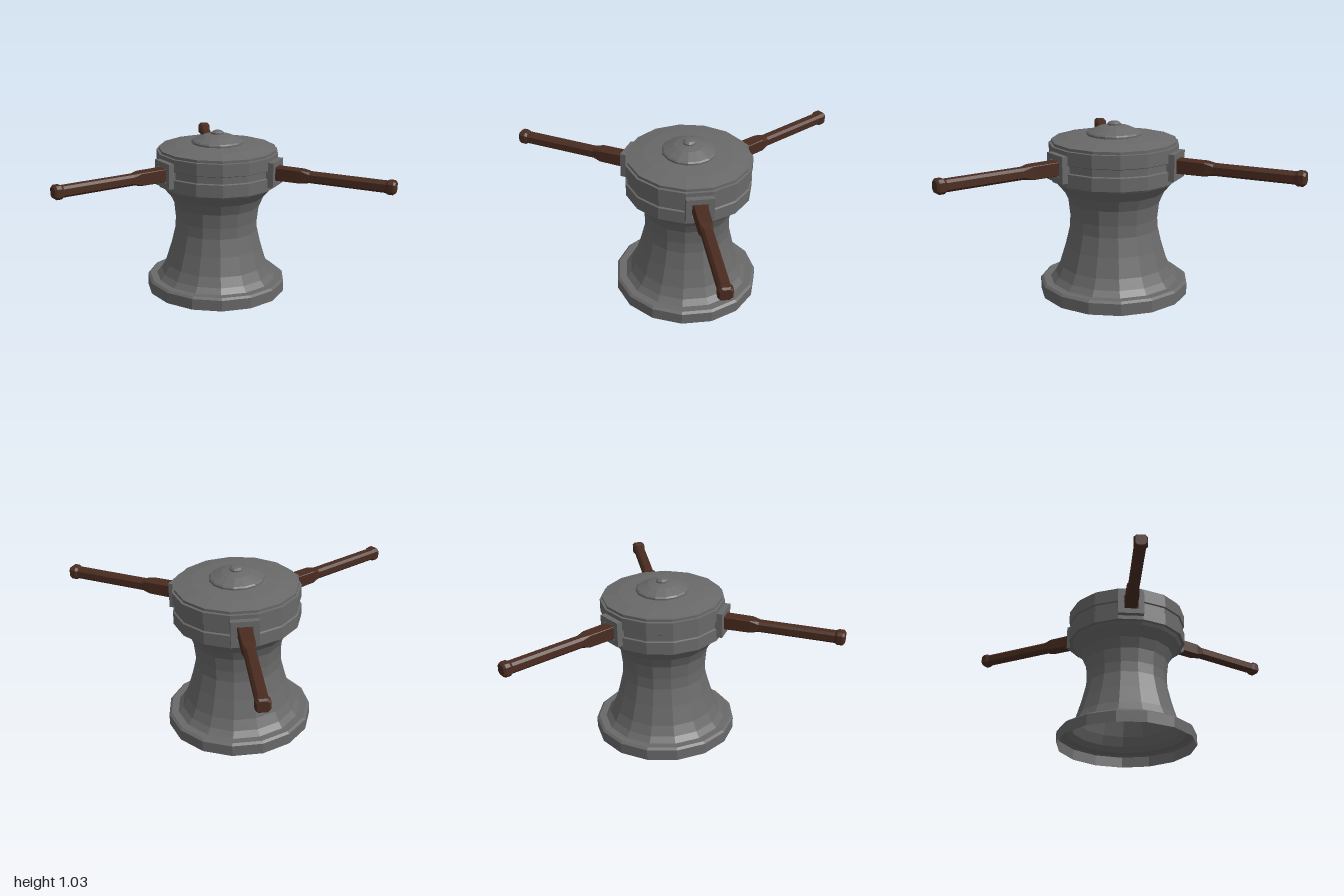
import * as THREE from 'three';

const SIDES = 15;
const CENTER_X = 0.27;
const BAR_Y = 0.808;

// Split every face so that it gets its own flat normal
function faceted(geometry) {
  const flat = geometry.index ? geometry.toNonIndexed() : geometry;
  flat.computeVertexNormals();
  return flat;
}

function lathe(points, sides, name, material) {
  const profile = points.map(([r, y]) => new THREE.Vector2(r, y));
  const mesh = new THREE.Mesh(faceted(new THREE.LatheGeometry(profile, sides, Math.PI / 2)), material);
  mesh.name = name;
  return mesh;
}

// Loft of chamfered squares along +x: [x, half size, chamfer]
function barGeometry(sections) {
  const pos = [], index = [];
  for (const [x, h, c] of sections) {
    const k = h - c;
    for (const [y, z] of [[h, -k], [h, k], [k, h], [-k, h], [-h, k], [-h, -k], [-k, -h], [k, -h]]) pos.push(x, y, z);
  }
  for (let i = 0; i < sections.length - 1; i++) {
    for (let j = 0; j < 8; j++) {
      const a = i * 8 + j, b = i * 8 + (j + 1) % 8;
      index.push(a, b, a + 8, b, b + 8, a + 8);
    }
  }
  const last = (sections.length - 1) * 8;
  for (let j = 1; j < 7; j++) {
    index.push(0, j + 1, j);
    index.push(last, last + j, last + j + 1);
  }
  const geometry = new THREE.BufferGeometry();
  geometry.setAttribute('position', new THREE.Float32BufferAttribute(pos, 3));
  geometry.setIndex(index);
  return faceted(geometry);
}

// Rectangular frame around the bar, facing +x
function socketGeometry() {
  const rect = (target, w, h) => {
    target.moveTo(-w, -h);
    target.lineTo(w, -h);
    target.lineTo(w, h);
    target.lineTo(-w, h);
    target.closePath();
    return target;
  };
  const shape = rect(new THREE.Shape(), 0.082, 0.078);
  shape.holes.push(rect(new THREE.Path(), 0.047, 0.045));
  const geometry = new THREE.ExtrudeGeometry(shape, { depth: 0.06, bevelEnabled: false });
  geometry.rotateY(Math.PI / 2);
  geometry.translate(0.35, 0, 0);
  return faceted(geometry);
}

export function createModel() {
  const iron = new THREE.MeshStandardMaterial({ color: 0x696969, side: THREE.DoubleSide });
  iron.name = 'grey iron';
  const wood = new THREE.MeshStandardMaterial({ color: 0x4a2c20 });
  wood.name = 'dark wood';

  const model = new THREE.Group();
  model.name = 'capstan';
  const body = new THREE.Group();
  body.name = 'body';
  body.position.x = CENTER_X;
  model.add(body);

  // Hollow foot and waisted drum, open underneath
  body.add(lathe([
    [0.445, 0], [0.445, 0.07], [0.43, 0.082], [0.385, 0.082],
    [0.355, 0.115], [0.325, 0.175], [0.29, 0.29], [0.264, 0.4], [0.262, 0.47],
    [0.272, 0.56], [0.3, 0.625], [0.35, 0.685], [0.362, 0.705],
  ], SIDES, 'drum', iron));

  // Head with a groove around its middle and a shallow conical top
  body.add(lathe([
    [0.362, 0.705], [0.384, 0.705], [0.384, 0.782], [0.374, 0.787], [0.374, 0.828],
    [0.384, 0.833], [0.384, 0.91], [0.37, 0.912], [0.37, 0.928], [0.27, 0.948], [0.16, 0.957],
  ], SIDES, 'head', iron));

  // Cap
  body.add(lathe([
    [0.163, 0.95], [0.163, 0.967], [0.155, 0.975], [0.09, 1.003], [0.04, 1.013], [0, 1.013],
  ], SIDES, 'cap', iron));

  // Knob on the cap
  body.add(lathe([
    [0.04, 1.01], [0.04, 1.022], [0.026, 1.032], [0, 1.034],
  ], 10, 'knob', iron));

  // Three sockets, each with a push bar
  const socket = socketGeometry();
  const bar = barGeometry([
    [0.36, 0.04, 0.002], [0.57, 0.039, 0.004], [0.62, 0.033, 0.014],
    [1.08, 0.033, 0.014], [1.095, 0.04, 0.016], [1.125, 0.04, 0.016], [1.137, 0.032, 0.014],
  ]);
  for (const angle of [Math.PI, Math.PI / 3, -Math.PI / 3]) {
    const arm = new THREE.Group();
    arm.name = 'arm';
    arm.position.y = BAR_Y;
    arm.rotation.y = angle;
    const frame = new THREE.Mesh(socket, iron);
    frame.name = 'socket';
    const handle = new THREE.Mesh(bar, wood);
    handle.name = 'pushBar';
    arm.add(frame, handle);
    body.add(arm);
  }
  return model;
}
